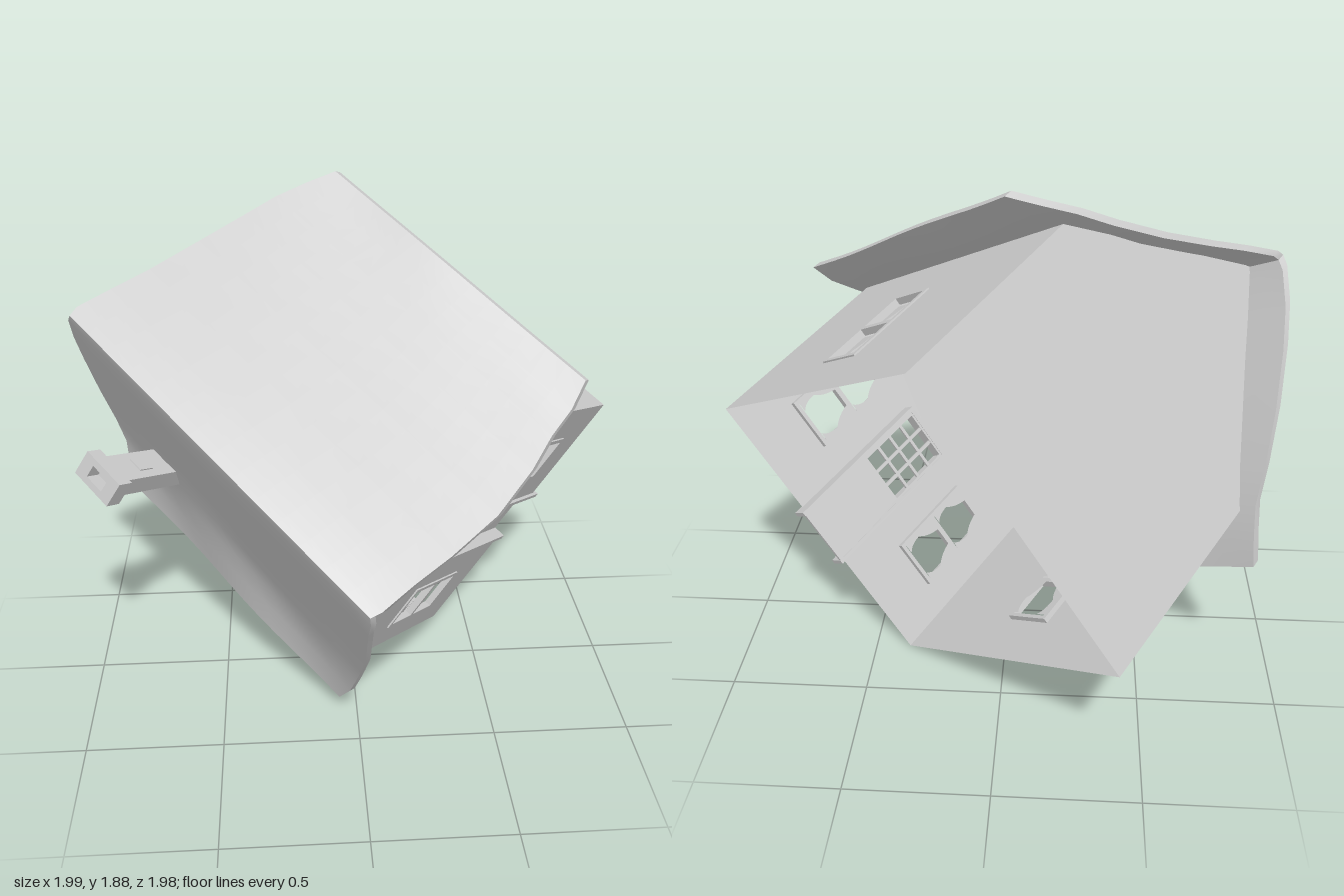
import * as THREE from 'three';
import { toCreasedNormals } from 'three/addons/utils/BufferGeometryUtils.js';

const W = 1.183, L = 1.188, EAVE = 0.77, PEAK = 1.415; // house width, length, wall heights
const WIN_W = 0.195;

const grey = new THREE.MeshStandardMaterial({ color: 0xcccccc, side: THREE.DoubleSide });
grey.name = 'plain grey';

const path = (pts, Type = THREE.Shape) => new Type(pts.map(([x, y]) => new THREE.Vector2(x, y)));

function rect(cx, cy, w, h, Type) {
  const x = w / 2, y = h / 2;
  return path([[cx - x, cy - y], [cx + x, cy - y], [cx + x, cy + y], [cx - x, cy + y]], Type);
}

function add(parent, name, geometry, x = 0, y = 0, z = 0) {
  const mesh = new THREE.Mesh(geometry, grey);
  mesh.name = name;
  mesh.position.set(x, y, z);
  parent.add(mesh);
  return mesh;
}

const box = (parent, name, w, h, d, x, y, z) => add(parent, name, new THREE.BoxGeometry(w, h, d), x, y, z);

function extrude(shape, depth) {
  return new THREE.ExtrudeGeometry(shape, { depth, bevelEnabled: false });
}

// Two stacked panes in a shallow frame, with tied curtains behind
function makeWindow(x, y, height) {
  const g = new THREE.Group();
  g.name = 'window';
  g.position.set(x, y, 0);
  const frame = rect(0, 0, WIN_W + 0.01, height + 0.01);
  const paneH = height / 2 - 0.02;
  for (const s of [-1, 1]) frame.holes.push(rect(0, s * height / 4, WIN_W - 0.025, paneH, THREE.Path));
  add(g, 'windowFrame', extrude(frame, 0.026), 0, 0, -0.02);
  for (const row of [-1, 1]) for (const side of [-1, 1]) {
    const e = side * WIN_W / 2, c = row * height / 4, t = c + paneH / 2, b = c - paneH / 2;
    const s = new THREE.Shape();
    s.moveTo(e, b);
    s.lineTo(e, t);
    s.lineTo(e - side * 0.06, t);
    s.quadraticCurveTo(e - side * 0.05, c + 0.02, e - side * 0.02, c - 0.01);
    s.quadraticCurveTo(e - side * 0.02, b + 0.02, e - side * 0.045, b);
    add(g, 'curtain', new THREE.ShapeGeometry(s, 6), 0, 0, -0.025);
  }
  return g;
}

// Wall sheet with an opening for each window given as [x, y, height]
function makeWall(name, outline, windows) {
  const g = new THREE.Group();
  g.name = name;
  const shape = path(outline);
  for (const [x, y, height] of windows) {
    shape.holes.push(rect(x, y, WIN_W, height, THREE.Path));
    g.add(makeWindow(x, y, height));
  }
  add(g, name + 'Panel', new THREE.ShapeGeometry(shape));
  return g;
}

// Recessed door between deep jambs, with a barred light in its upper half
function makeDoor() {
  const g = new THREE.Group();
  g.name = 'door';
  g.position.x = 0.592;
  const panel = rect(0, 0.28, 0.236, 0.62);
  panel.holes.push(rect(0, 0.44, 0.2, 0.265, THREE.Path));
  add(g, 'doorPanel', extrude(panel, 0.012), 0, 0, -0.05);
  for (const s of [-1, 1]) {
    box(g, 'doorJamb', 0.016, 0.63, 0.064, s * 0.118, 0.282, -0.02);
    box(g, 'doorBar', 0.012, 0.265, 0.01, s * 0.033, 0.44, -0.043);
  }
  for (const i of [-1, 0, 1]) box(g, 'doorBar', 0.2, 0.012, 0.01, 0, 0.44 + i * 0.066, -0.043);
  box(g, 'doorLintel', 0.252, 0.016, 0.064, 0, 0.589, -0.02);
  return g;
}

// Rows down each roof slope: [distance from ridge, height, front overhang, rear overhang]
const LEFT_SLOPE = [[0, 1.445, 0.14, 0.13], [0.03, 1.42, 0.152, 0.14], [0.12, 1.322, 0.155, 0.125],
  [0.22, 1.207, 0.165, 0.11], [0.36, 1.047, 0.165, 0.1], [0.5, 0.905, 0.13, 0.08],
  [0.6, 0.815, 0.09, 0.06], [0.69, 0.738, 0.07, 0.03], [0.778, 0.678, 0.035, -0.01]];
const RIGHT_SLOPE = [[0, 1.445, 0.14, 0.13], [0.03, 1.42, 0.15, 0.145], [0.12, 1.32, 0.14, 0.165],
  [0.22, 1.203, 0.13, 0.165], [0.36, 1.043, 0.12, 0.145], [0.49, 0.9, 0.1, 0.11],
  [0.58, 0.82, 0.09, 0.07], [0.67, 0.758, 0.08, 0.045], [0.763, 0.705, 0.05, 0.015]];

// Sagging roof sheet with uneven edges and long soft folds
function makeRoof() {
  const n = LEFT_SLOPE.length - 1;
  const geo = new THREE.BoxGeometry(2, 1, 1, 2 * n, 1, 14);
  const p = geo.attributes.position;
  for (let i = 0; i < p.count; i++) {
    const k = Math.round(p.getX(i) * n), side = Math.sign(k);
    const [t, h, front, rear] = (side > 0 ? LEFT_SLOPE : RIGHT_SLOPE)[Math.abs(k)];
    const v = p.getZ(i) + 0.5;
    const fold = t * 0.009 * Math.sin(v * 9 + k * 1.3);
    const thick = p.getY(i) < 0 ? 0.034 : 0;
    p.setXYZ(i, W / 2 + side * (t + fold * 0.3), h + fold - thick, THREE.MathUtils.lerp(-L - rear, front, v));
  }
  return toCreasedNormals(geo, 0.5);
}

// Hollow-topped chimney rising through the rear of one slope
function makeChimney() {
  const g = new THREE.Group();
  g.name = 'chimney';
  g.position.set(0.15, 0, -0.965);
  box(g, 'chimneyShaft', 0.075, 0.42, 0.13, 0, 1.07, 0);
  box(g, 'chimneyPlate', 0.085, 0.07, 0.06, 0, 1.13, 0);
  const ring = rect(0, 0, 0.1, 0.18);
  ring.holes.push(rect(0, 0, 0.05, 0.08, THREE.Path));
  const cap = extrude(ring, 0.065);
  cap.rotateX(-Math.PI / 2);
  add(g, 'chimneyCap', cap, 0, 1.275, 0);
  return g;
}

export function createModel() {
  const house = new THREE.Group();
  house.name = 'house';

  // Gable walls, the front one notched for the door
  const gableTop = [[W, 0], [W, EAVE], [W / 2, PEAK], [0, EAVE], [0, 0]];
  const notch = [[0.474, 0], [0.474, 0.59], [0.71, 0.59], [0.71, 0]];
  house.add(makeWall('frontWall', [...gableTop, ...notch], [[0.225, 0.395, 0.35], [0.935, 0.395, 0.35]]));
  house.add(makeDoor());
  const back = makeWall('backWall', gableTop, []);
  back.position.z = -L;
  house.add(back);

  // Side walls, each with one window
  for (const s of [-1, 1]) {
    const wall = makeWall('sideWall', [[0, 0], [L, 0], [L, EAVE], [0, EAVE]], [[L / 2 - s * 0.025, 0.375, 0.37]]);
    wall.rotation.y = s * Math.PI / 2;
    wall.position.set(s > 0 ? W : 0, 0, s > 0 ? 0 : -L);
    house.add(wall);
  }

  add(house, 'roof', makeRoof());
  house.add(makeChimney());

  // Tumbled pose: the house rests on one lower corner
  const across = new THREE.Vector3(0.5325, 0.845, 0.034).normalize();
  const up = new THREE.Vector3(0.648, -0.438, 0.623).cross(across).normalize();
  const front = new THREE.Vector3().crossVectors(across, up);
  house.quaternion.setFromRotationMatrix(new THREE.Matrix4().makeBasis(across, up, front));
  house.position.set(0.37, 0, -0.25);

  const model = new THREE.Group();
  model.name = 'tumbledHouse';
  model.add(house);
  return model;
}
